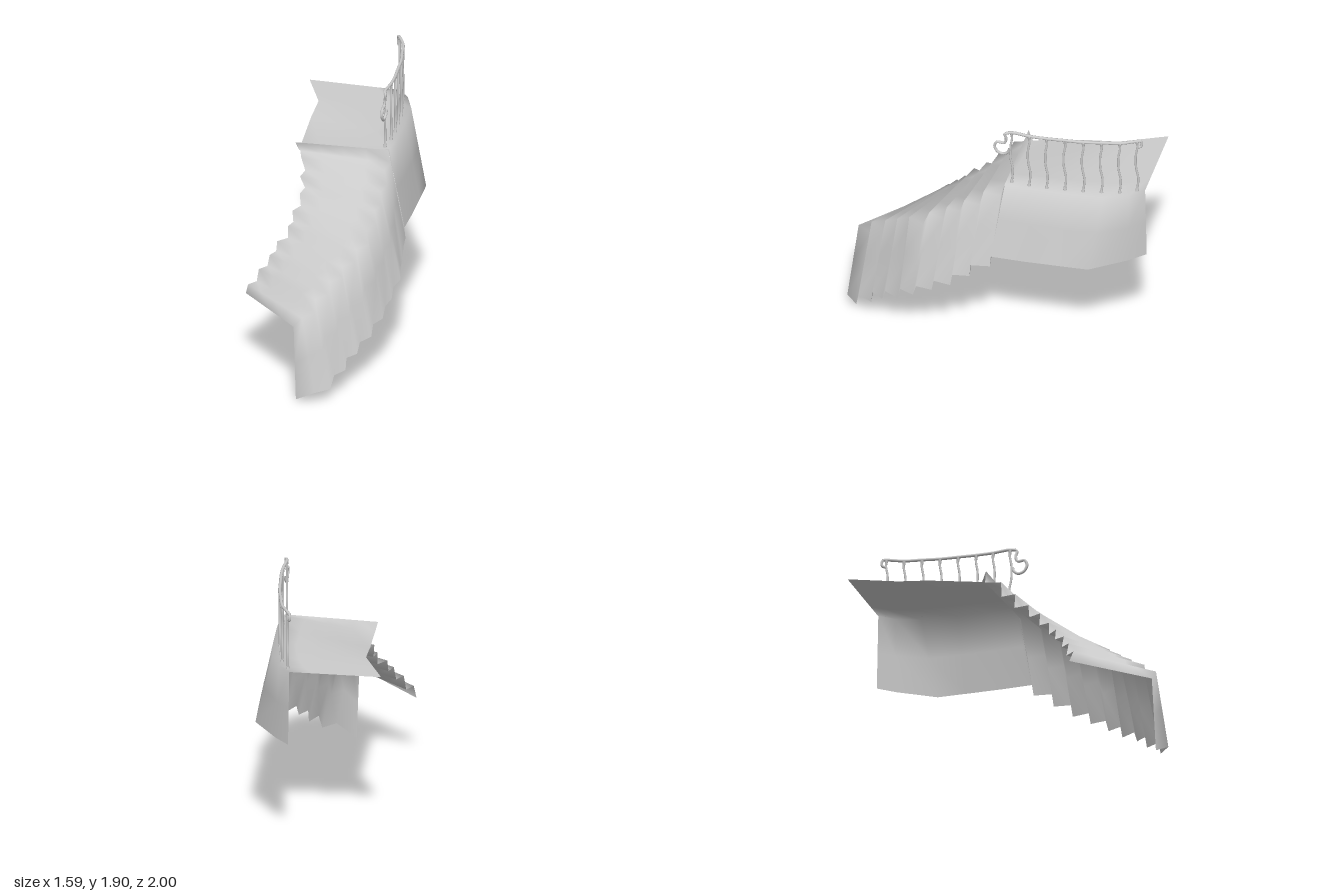
import * as THREE from 'three';

const V = (x, y, z) => new THREE.Vector3(x, y, z);
const grey = new THREE.MeshStandardMaterial({ color: 0xcccccc, side: THREE.DoubleSide });

// Smooth sheet stretched across rows of points
function sheet(rows, name) {
  const n = rows[0].length;
  const index = [];
  for (let r = 0; r < rows.length - 1; r++) {
    for (let c = 0; c < n - 1; c++) {
      const a = r * n + c, b = a + n;
      index.push(a, a + 1, b, a + 1, b + 1, b);
    }
  }
  const geo = new THREE.BufferGeometry().setFromPoints(rows.flat());
  geo.setIndex(index);
  geo.computeVertexNormals();
  const mesh = new THREE.Mesh(geo, grey);
  mesh.name = name;
  return mesh;
}

// One cross-section: across the top in steps, then down the outer skirt
function section(inner, outer, bottom) {
  const row = [];
  for (let i = 0; i <= 4; i++) row.push(inner.clone().lerp(outer, i / 4));
  row.push(outer.clone().lerp(bottom, 0.5), bottom);
  return row;
}

function tube(points, radius, name, segments = 24) {
  const curve = new THREE.CatmullRomCurve3(points);
  const mesh = new THREE.Mesh(new THREE.TubeGeometry(curve, segments, radius, 8), grey);
  mesh.name = name;
  return mesh;
}

function stairRows() {
  // per tread: height, then inner, outer and skirt-foot [x, z] at its front and back
  const treads = [
    [0.63, [-0.04, 0.81], [0.61, 0.97], [0.73, 0.97], [-0.03, 0.73], [0.62, 0.85], [0.77, 0.85]],
    [0.73, [-0.01, 0.73], [0.62, 0.84], [0.78, 0.82], [0.00, 0.65], [0.63, 0.72], [0.78, 0.70]],
    [0.82, [0.02, 0.65], [0.63, 0.70], [0.78, 0.69], [0.01, 0.57], [0.64, 0.58], [0.79, 0.59]],
    [0.90, [0.02, 0.57], [0.64, 0.58], [0.79, 0.56], [0.04, 0.48], [0.65, 0.46], [0.79, 0.44]],
    [0.99, [0.04, 0.48], [0.66, 0.45], [0.79, 0.42], [0.02, 0.40], [0.66, 0.32], [0.78, 0.31]],
    [1.08, [0.02, 0.41], [0.62, 0.30], [0.78, 0.28], [0.01, 0.31], [0.60, 0.18], [0.74, 0.17]],
    [1.17, [0.00, 0.31], [0.58, 0.17], [0.74, 0.15], [-0.04, 0.21], [0.55, 0.07], [0.70, 0.03]],
    [1.26, [-0.06, 0.24], [0.53, 0.05], [0.69, 0.02], [-0.10, 0.14], [0.49, -0.06], [0.62, -0.08]],
    [1.36, [-0.12, 0.16], [0.46, -0.07], [0.62, -0.09], [-0.20, 0.08], [0.41, -0.19], [0.54, -0.20]],
  ];
  const rows = [section(V(-0.07, 0.55, 0.8), V(0.55, 0.55, 0.99), V(0.58, 0, 1))];
  for (const [y, ...p] of treads) {
    for (let k = 0; k < 6; k += 3) {
      const [i, o, b] = p.slice(k, k + 3);
      rows.push(section(V(i[0], y, i[1]), V(o[0], y, o[1]), V(b[0], y - 0.545, b[1])));
    }
  }
  rows.push(section(V(-0.22, 1.43, 0.11), V(0.38, 1.45, -0.2), V(0.53, 0.89, -0.2)));
  return rows;
}

function landingRows() {
  // inner [x, y, z], outer [x, z], skirt foot [x, z]; the inner front sags behind the lip
  const data = [
    [[-0.22, 1.43, 0.11], [0.38, -0.2], [0.53, -0.2]],
    [[-0.22, 1.36, 0.07], [0.375, -0.215], [0.52, -0.22]],
    [[-0.42, 1.425, -0.28], [0.29, -0.4], [0.42, -0.41]],
    [[-0.52, 1.45, -0.47], [0.18, -0.6], [0.3, -0.62]],
    [[-0.66, 1.45, -0.58], [0.04, -0.82], [0.19, -0.81]],
    [[-0.75, 1.45, -0.65], [-0.1, -0.94], [-0.08, -0.95]],
    [[-0.8, 1.45, -0.69], [-0.22, -0.985], [-0.22, -1]],
  ];
  return data.map(([i, o, b]) => section(V(...i), V(o[0], 1.45, o[1]), V(b[0], 0.895, b[1])));
}

function railing() {
  const group = new THREE.Group();
  group.name = 'railing';
  const feet = [
    [0.33, -0.22], [0.28, -0.34], [0.22, -0.45], [0.15, -0.56],
    [0.08, -0.67], [0, -0.77], [-0.08, -0.87], [-0.18, -0.945],
  ];
  const foot = new THREE.CylinderGeometry(0.008, 0.013, 0.03, 8);
  for (const [x, z] of feet) {
    // gently waved baluster
    const wave = [[1.45, 0], [1.56, -0.008], [1.66, 0.008], [1.76, 0.009], [1.84, -0.003], [1.885, 0]];
    group.add(tube(wave.map(([y, d]) => V(x + d * 0.6, y, z + d * 0.8)), 0.008, 'baluster', 16));
    for (const [y, flip] of [[1.465, 0], [1.865, Math.PI]]) {
      const collar = new THREE.Mesh(foot, grey);
      collar.position.set(x, y, z);
      collar.rotation.x = flip;
      collar.name = 'balusterCollar';
      group.add(collar);
    }
  }
  // handrail with a hanging curl at each end
  const top = feet.map(([x, z]) => V(x, 1.885, z));
  group.add(tube([V(0.355, 1.88, -0.19), ...top, V(-0.205, 1.88, -0.96)], 0.011, 'handrail', 48));
  group.add(tube([
    V(0.35, 1.882, -0.2), V(0.365, 1.875, -0.185), V(0.355, 1.83, -0.19), V(0.36, 1.79, -0.175),
    V(0.385, 1.79, -0.13), V(0.393, 1.75, -0.115), V(0.385, 1.71, -0.135), V(0.365, 1.695, -0.17),
    V(0.352, 1.72, -0.205), V(0.35, 1.75, -0.215),
  ], 0.01, 'frontCurl', 40));
  group.add(tube([
    V(-0.2, 1.882, -0.955), V(-0.208, 1.865, -0.962), V(-0.205, 1.835, -0.96), V(-0.19, 1.825, -0.945),
  ], 0.01, 'backCurl', 16));
  return group;
}

export function createModel() {
  const model = new THREE.Group();
  model.name = 'curvedStaircase';
  model.add(sheet(stairRows(), 'stairs'), sheet(landingRows(), 'landing'), railing());
  return model;
}
